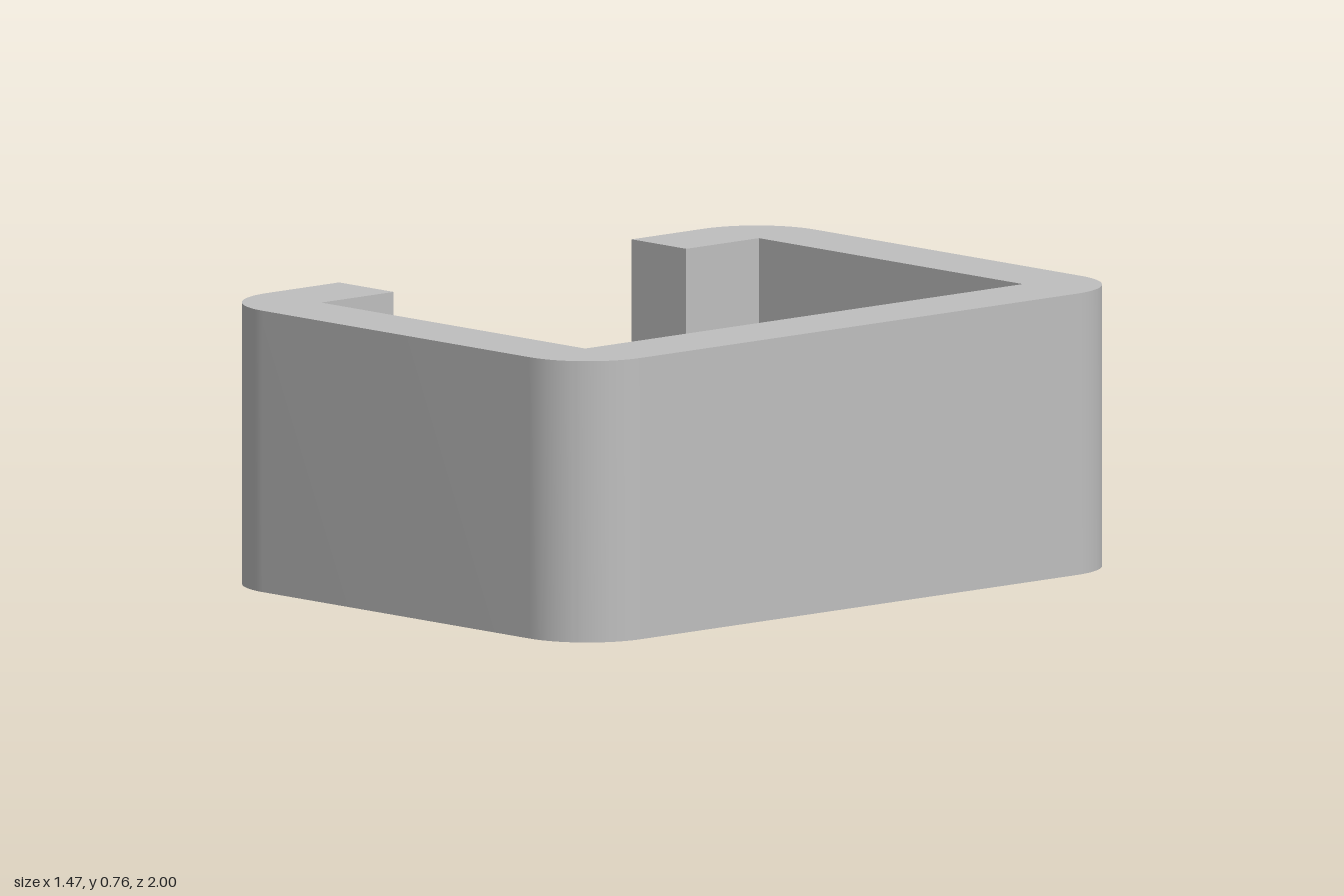
import * as THREE from 'three';
import { toCreasedNormals } from 'three/addons/utils/BufferGeometryUtils.js';

const HEIGHT = 0.76;
const OUT_X = 0.735, OUT_Z = 1;    // outer half sizes
const IN_X = 0.52, IN_Z = 0.793;   // inner half sizes
const LIP_Z = 0.53;                // where the hooked ends stop
const R = 0.21;                    // outer corner radius

// C-shaped cross-section, open towards -x, with square inner corners
function clipProfile() {
  const s = new THREE.Shape();
  const cx = OUT_X - R, cz = OUT_Z - R;
  s.moveTo(-OUT_X, -LIP_Z);
  s.lineTo(-OUT_X, -cz);
  s.absarc(-cx, -cz, R, Math.PI, Math.PI * 1.5, false);
  s.lineTo(cx, -OUT_Z);
  s.absarc(cx, -cz, R, -Math.PI / 2, 0, false);
  s.lineTo(OUT_X, cz);
  s.absarc(cx, cz, R, 0, Math.PI / 2, false);
  s.lineTo(-cx, OUT_Z);
  s.absarc(-cx, cz, R, Math.PI / 2, Math.PI, false);
  s.lineTo(-OUT_X, LIP_Z);
  s.lineTo(-IN_X, LIP_Z);
  s.lineTo(-IN_X, IN_Z);
  s.lineTo(IN_X, IN_Z);
  s.lineTo(IN_X, -IN_Z);
  s.lineTo(-IN_X, -IN_Z);
  s.lineTo(-IN_X, -LIP_Z);
  s.closePath();
  return s;
}

export function createModel() {
  const group = new THREE.Group();
  group.name = 'clip';

  const grey = new THREE.MeshStandardMaterial({ color: 0xbfbfbf });
  grey.name = 'light grey';

  // Extruded upwards from the ground; rounded corners smooth, edges sharp
  const extruded = new THREE.ExtrudeGeometry(clipProfile(), {
    depth: HEIGHT, bevelEnabled: false, curveSegments: 16,
  });
  extruded.rotateX(-Math.PI / 2);
  const geometry = toCreasedNormals(extruded, 0.5);
  geometry.clearGroups();

  const body = new THREE.Mesh(geometry, grey);
  body.name = 'clipBody';
  group.add(body);
  return group;
}
